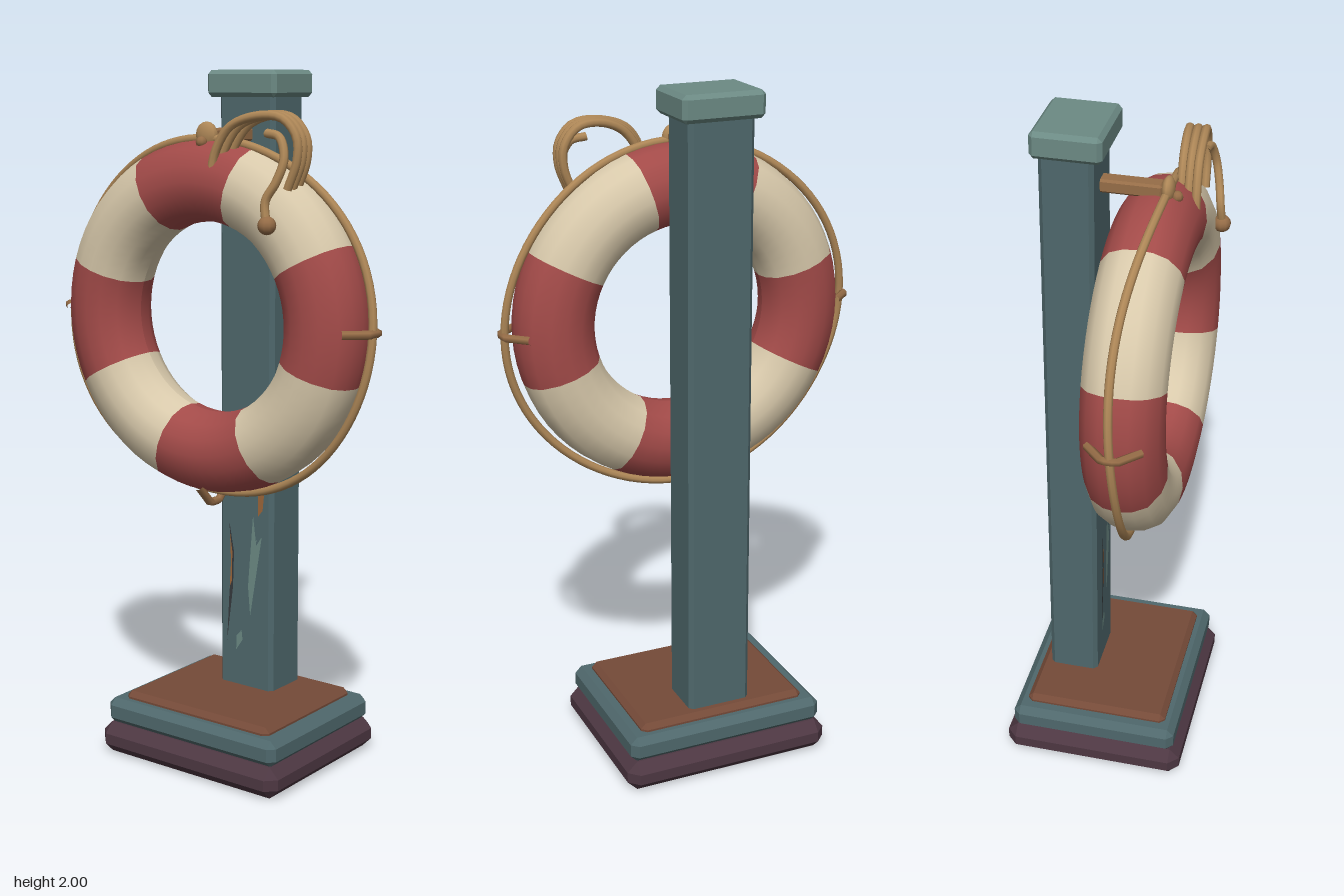
import * as THREE from 'three';
import { ConvexGeometry } from 'three/addons/geometries/ConvexGeometry.js';

const paint = (name, color, side = THREE.FrontSide) => {
  const m = new THREE.MeshStandardMaterial({ color, side });
  m.name = name;
  return m;
};

export function createModel() {
  const group = new THREE.Group();
  const teal = paint('teal paint', 0x4f686c);
  const paleTeal = paint('pale teal', 0x6c8a84, THREE.DoubleSide);
  const plum = paint('plum', 0x4d3742);
  const brown = paint('brown plate', 0x754a38);
  const cream = paint('cream', 0xd8c9ab);
  const red = paint('faded red', 0xa34b49);
  const ropeTan = paint('rope tan', 0xae8757);
  const wood = paint('peg wood', 0x966d47);
  const rust = paint('rust', 0x9c6639, THREE.DoubleSide);
  const dark = paint('bare metal', 0x35393c, THREE.DoubleSide);

  const add = (name, geometry, material, x = 0, y = 0, z = 0) => {
    const mesh = new THREE.Mesh(geometry, material);
    mesh.name = name;
    mesh.position.set(x, y, z);
    group.add(mesh);
    return mesh;
  };

  // Box with every edge chamfered by c
  const chamferBox = (w, h, d, c) => {
    const pts = [];
    const [a, b, e] = [w / 2, h / 2, d / 2];
    for (const i of [-1, 1]) for (const j of [-1, 1]) for (const k of [-1, 1]) {
      pts.push(
        new THREE.Vector3(i * a, j * (b - c), k * (e - c)),
        new THREE.Vector3(i * (a - c), j * b, k * (e - c)),
        new THREE.Vector3(i * (a - c), j * (b - c), k * e));
    }
    return new ConvexGeometry(pts);
  };

  // Smooth rope through [x, y, z] points
  const rope = (name, points, radius, closed = false, steps = 28, mat = ropeTan) => {
    const curve = new THREE.CatmullRomCurve3(points.map(p => new THREE.Vector3(...p)), closed);
    return add(name, new THREE.TubeGeometry(curve, steps, radius, 8, closed), mat);
  };

  // Stepped base, post and cap
  add('baseFoot', chamferBox(0.64, 0.092, 0.54, 0.03), plum, 0, 0.046, 0);
  add('baseStep', chamferBox(0.61, 0.078, 0.5, 0.02), teal, 0, 0.127, 0);
  add('basePlate', chamferBox(0.52, 0.04, 0.43, 0.015), brown, 0, 0.167, 0);
  add('post', chamferBox(0.192, 1.78, 0.148, 0.012), teal, 0, 1.06, -0.11);
  add('postCap', chamferBox(0.24, 0.075, 0.194, 0.012), paleTeal, 0, 1.9625, -0.104);

  // Ring buoy: eight alternating sections swept from one cross-section
  const cy = 1.319, cz = 0.112;
  const profile = [
    [0.268, 0], [0.274, -0.04], [0.294, -0.077], [0.335, -0.105], [0.38, -0.113], [0.425, -0.105],
    [0.471, -0.077], [0.491, -0.04], [0.497, 0], [0.491, 0.04], [0.471, 0.077], [0.425, 0.105],
    [0.38, 0.113], [0.335, 0.105], [0.294, 0.077], [0.274, 0.04], [0.268, 0],
  ].map(p => new THREE.Vector2(...p));
  const eighth = Math.PI / 4;
  const tilt = THREE.MathUtils.degToRad(4.5);
  for (let i = 0; i < 8; i++) {
    const start = Math.PI / 2 + tilt + (i - 0.5) * eighth;
    const section = new THREE.LatheGeometry(profile, 8, start, eighth);
    section.rotateX(Math.PI / 2);
    add('ringSection' + (i + 1), section, i % 2 ? cream : red, 0, cy, cz);
  }

  // Grab line around the ring, gently wavering in depth
  const loop = [];
  for (let i = 0; i < 32; i++) {
    const t = i / 32 * Math.PI * 2;
    const r = 0.513 + 0.012 * Math.cos(2 * t);
    loop.push([r * Math.cos(t), cy - 0.004 + r * Math.sin(t),
      0.112 + 0.012 * Math.sin(t) + 0.016 * Math.sin(3 * t + Math.PI)]);
  }
  rope('grabLine', loop, 0.012, true, 96);

  // Straps that hold the line at the sides and bottom
  const strapPath = new THREE.CurvePath();
  const bend = [[0.475, -0.072], [0.53, -0.02], [0.53, 0.02], [0.475, 0.072]]
    .map(([x, z]) => new THREE.Vector3(x, 0, z));
  for (let i = 0; i < 3; i++) strapPath.add(new THREE.LineCurve3(bend[i], bend[i + 1]));
  const strapGeometry = new THREE.TubeGeometry(strapPath, 18, 0.012, 6);
  [['leftStrap', 0], ['rightStrap', Math.PI], ['bottomStrap', -Math.PI / 2]].forEach(([name, angle]) => {
    add(name, strapGeometry, wood, 0, cy, cz).rotation.z = angle;
  });

  // Hanging peg with a rounded knob
  add('peg', chamferBox(0.048, 0.038, 0.18, 0.006), wood, 0, 1.823, 0.04);
  const knob = add('pegKnob', new THREE.SphereGeometry(0.036, 12, 8), ropeTan, 0, 1.825, 0.142);
  knob.scale.z = 0.5;
  add('pegTip', new THREE.SphereGeometry(0.016, 8, 6), wood, 0, 1.806, 0.166);

  // Loose rope draped in three loops, with a knotted tail
  for (let i = 0; i < 3; i++) {
    const z = 0.146 + i * 0.023, s = i * 0.012;
    rope('ropeLoop' + (i + 1), [
      [0.085 - s, 1.72, z + 0.012], [0.1 - s, 1.785, z + 0.01], [0.145 - s, 1.85, z + 0.006],
      [0.215, 1.88, z], [0.285, 1.873, z - 0.006], [0.326, 1.825, z - 0.01],
      [0.328, 1.765, z - 0.01], [0.3, 1.69, z - 0.008],
    ], 0.0125);
  }
  rope('ropeTail', [
    [0.24, 1.835, 0.195], [0.285, 1.825, 0.2], [0.308, 1.77, 0.212], [0.292, 1.71, 0.225],
    [0.265, 1.66, 0.235], [0.272, 1.6, 0.24],
  ], 0.012);
  add('tailKnot', new THREE.SphereGeometry(0.025, 10, 8), wood, 0.274, 1.598, 0.24);

  // Worn paint flakes on the post front
  const flake = (name, outline, material, z) => {
    const shape = new THREE.Shape(outline.map(p => new THREE.Vector2(...p)));
    add(name, new THREE.ShapeGeometry(shape), material, 0, 0, z);
  };
  flake('paleFlakeUpper', [[0.02, 0.41], [0.035, 0.5], [0.045, 0.66], [0.068, 0.76],
    [0.062, 0.66], [0.042, 0.63], [0.03, 0.72], [0.012, 0.5]], paleTeal, -0.033);
  flake('paleFlakeLower', [[-0.032, 0.295], [-0.008, 0.33], [-0.012, 0.36], [-0.03, 0.34]], paleTeal, -0.033);
  flake('rustFlakeUpper', [[0.05, 0.72], [0.066, 0.74], [0.075, 0.82], [0.05, 0.82]], rust, -0.031);
  flake('bareStreak', [[-0.062, 0.32], [-0.04, 0.49], [-0.036, 0.6], [-0.053, 0.69],
    [-0.046, 0.56], [-0.054, 0.46]], dark, -0.028);
  flake('rustStreak', [[-0.05, 0.49], [-0.042, 0.51], [-0.04, 0.6], [-0.049, 0.66], [-0.045, 0.57]], rust, -0.025);

  return group;
}
